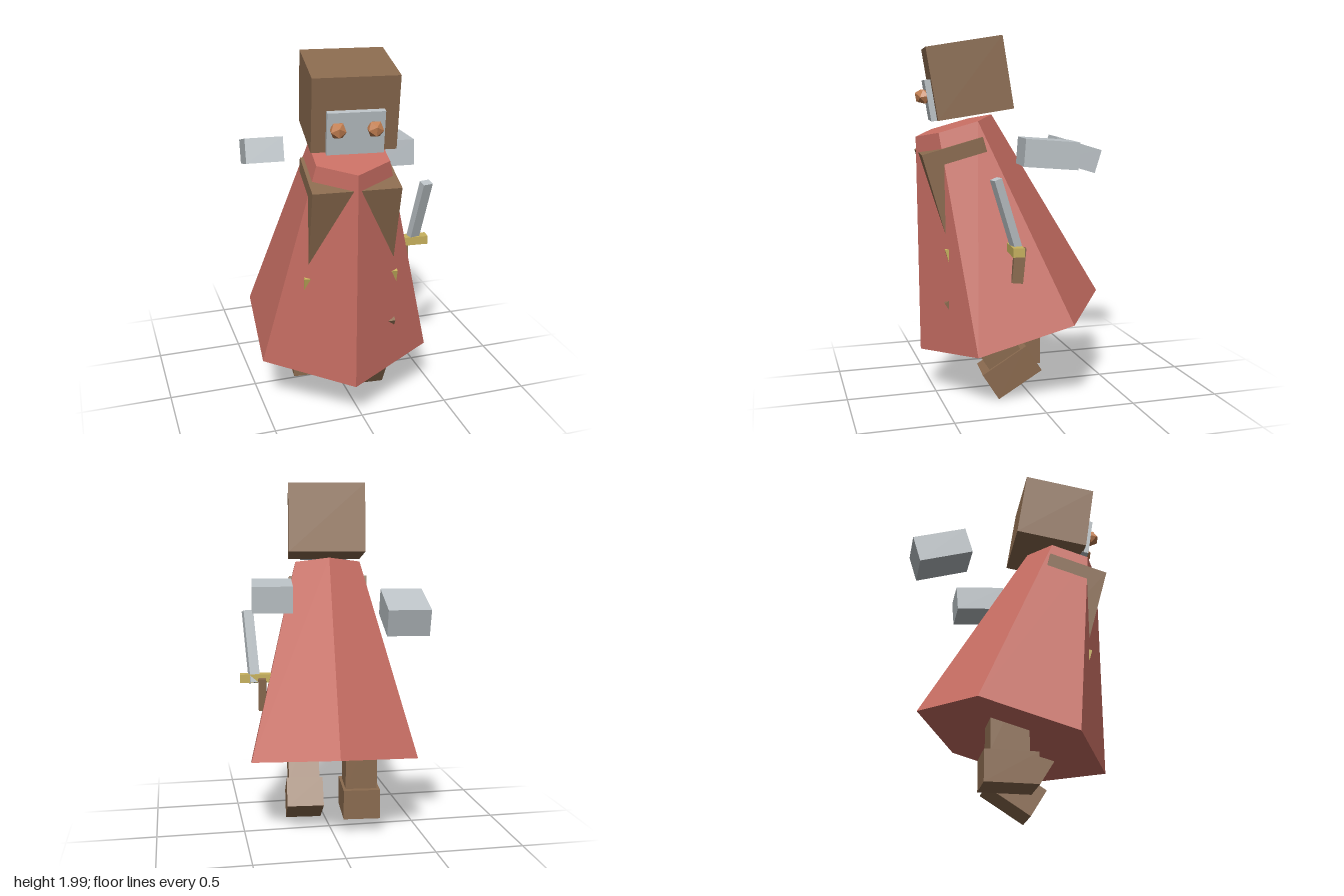
import * as THREE from 'three';

const mat = (name, color) => {
  const m = new THREE.MeshStandardMaterial({ color });
  m.name = name;
  return m;
};

export function createModel() {
  const red = mat('robe red', 0xc96f64);
  const brown = mat('skin brown', 0x8b6b4f);
  const grey = mat('pale grey', 0xbcc3c7);
  const gold = mat('gold', 0xc8b25e);
  const copper = mat('copper', 0xc27f52);

  const model = new THREE.Group();
  model.name = 'robedFigure';

  // Adds a box; rotation is pitch then yaw in degrees
  function box(parent, name, material, size, pos, pitch = 0, yaw = 0) {
    const mesh = new THREE.Mesh(new THREE.BoxGeometry(...size), material);
    mesh.name = name;
    return place(parent, mesh, pos, pitch, yaw);
  }
  function place(parent, obj, pos, pitch = 0, yaw = 0) {
    obj.position.set(...pos);
    obj.rotation.order = 'YXZ';
    obj.rotation.set(THREE.MathUtils.degToRad(pitch), THREE.MathUtils.degToRad(yaw), 0);
    parent.add(obj);
    return obj;
  }
  function group(name, pos, pitch, yaw) {
    const g = new THREE.Group();
    g.name = name;
    return place(model, g, pos, pitch, yaw);
  }

  // Leaning torso: six-sided robe around a body box and belt
  const torso = group('torso', [-0.02, 0.388, 0.055], 15.7, -4.7);
  const height = 1.167;
  const robeGeo = new THREE.CylinderGeometry(0.22, 0.54, height, 6).toNonIndexed();
  robeGeo.computeVertexNormals();
  const robe = new THREE.Mesh(robeGeo, red);
  robe.name = 'robe';
  place(torso, robe, [0, height / 2, 0]);
  box(torso, 'body', brown, [0.46, 0.74, 0.34], [0, 0.712, 0.0625]);
  box(torso, 'belt', gold, [0.506, 0.12, 0.395], [0, 0.5, 0.0625]);

  // Head with face plate and faceted eyes
  const head = group('head', [-0.03, 1.77, 0.3], 9, -7.2);
  box(head, 'skull', brown, [0.437, 0.39, 0.41], [0, 0, 0]);
  box(head, 'facePlate', grey, [0.29, 0.222, 0.04], [0, -0.085, 0.217]);
  for (const side of [-1, 1]) {
    const eye = new THREE.Mesh(new THREE.IcosahedronGeometry(0.045, 0), copper);
    eye.name = side > 0 ? 'leftEye' : 'rightEye';
    place(head, eye, [side * 0.093, -0.06, 0.25]);
  }

  // Legs in mid-stride: each a foot with a straight leg above
  const legs = [
    ['leftLeg', [0.135, 0.152, 0.105], 32],
    ['rightLeg', [-0.175, 0.175, -0.008], 0],
  ];
  for (const [name, pos, pitch] of legs) {
    const leg = group(name, pos, pitch, -5);
    box(leg, 'foot', brown, [0.21, 0.17, 0.287], [0, 0, 0]);
    box(leg, 'shin', brown, [0.18, 0.46, 0.205], [0, 0.313, -0.006]);
  }

  // Floating hands
  box(model, 'leftHand', grey, [0.222, 0.145, 0.29], [0.332, 1.377, -0.055], -4.5, -5.5);
  box(model, 'rightHand', grey, [0.222, 0.145, 0.29], [-0.324, 1.315, -0.426], -17, -4.8);

  // Dagger
  const dagger = group('dagger', [0, 0, 0], 0, 0);
  box(dagger, 'blade', grey, [0.058, 0.425, 0.043], [0.429, 1.057, 0.195], 17.8, 11);
  box(dagger, 'guard', gold, [0.18, 0.048, 0.06], [0.41, 0.881, 0.145], 0, -5);
  box(dagger, 'grip', brown, [0.045, 0.19, 0.06], [0.373, 0.79, 0.118], -5.5, -8);

  return model;
}
